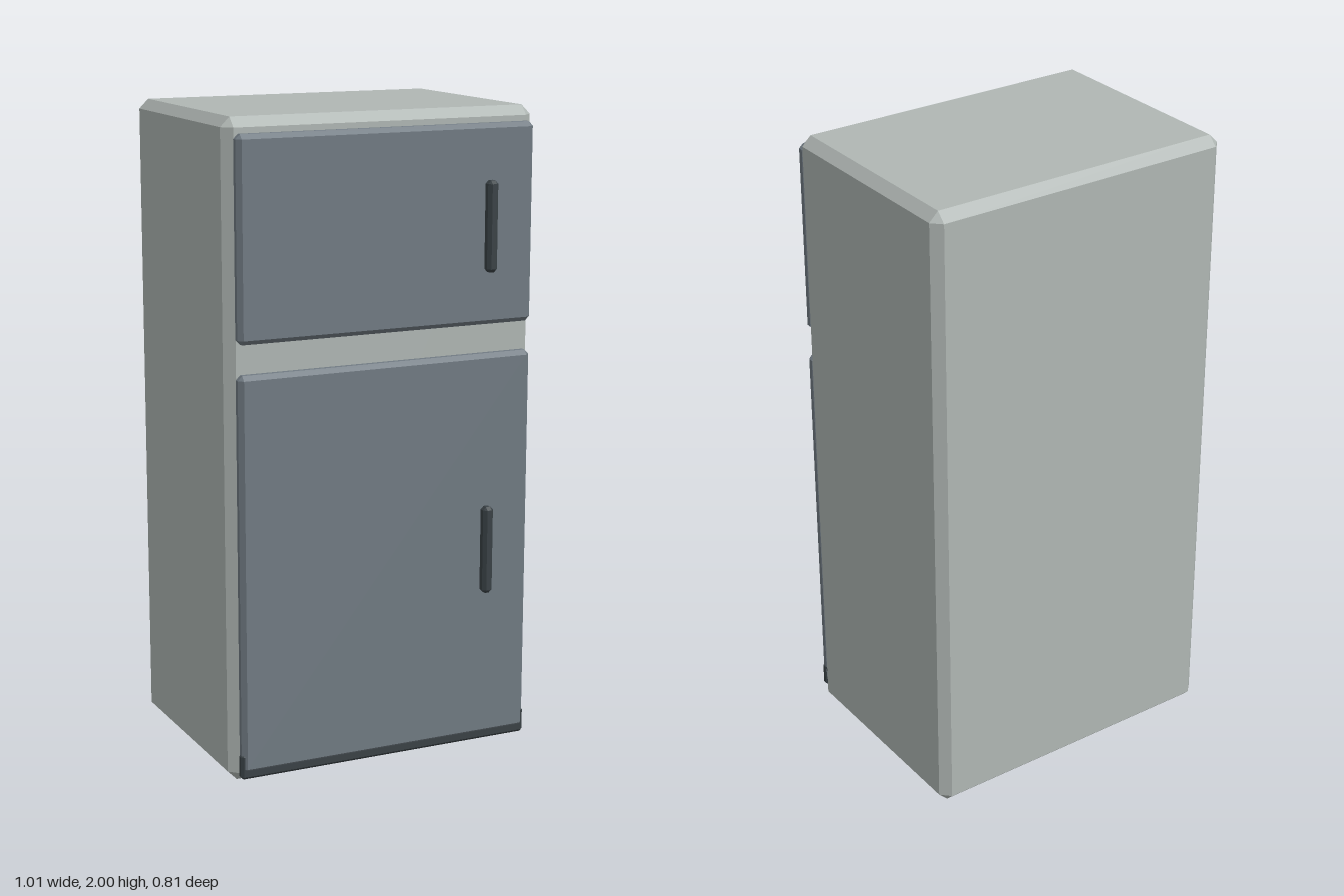
import * as THREE from 'three';
import { ConvexGeometry } from 'three/addons/geometries/ConvexGeometry.js';

const mat = (name, color) => {
  const m = new THREE.MeshStandardMaterial({ color });
  m.name = name;
  return m;
};

// Box between two corners with every edge cut by a chamfer c
function chamferBox(min, max, c) {
  const mid = min.map((v, i) => (v + max[i]) / 2);
  const half = min.map((v, i) => (max[i] - v) / 2);
  const points = [];
  for (const sx of [-1, 1]) for (const sy of [-1, 1]) for (const sz of [-1, 1]) {
    for (let axis = 0; axis < 3; axis++) {
      const h = half.map((v, i) => (i === axis ? v : v - c));
      points.push(new THREE.Vector3(sx * h[0], sy * h[1], sz * h[2]));
    }
  }
  return new ConvexGeometry(points).translate(...mid);
}

export function createModel() {
  const group = new THREE.Group();
  group.name = 'fridge';

  const shell = mat('lightMetal', 0xb0b7b4);
  const panel = mat('slateMetal', 0x717b83);
  const dark = mat('darkMetal', 0x3a4246);

  const add = (name, material, min, max, c) => {
    const mesh = new THREE.Mesh(chamferBox(min, max, c), material);
    mesh.name = name;
    group.add(mesh);
  };

  // Cabinet
  add('cabinet', shell, [-0.503, 0, -0.405], [0.503, 2, 0.317], 0.029);

  // Doors, each with an upright handle on the model's left
  const doors = [
    ['freezer', 1.35, 1.955, 1.515],
    ['fridge', 0.04, 1.26, 0.515],
  ];
  for (const [name, y0, y1, handleY] of doors) {
    add(name + 'Door', panel, [-0.481, y0, 0.317], [0.481, y1, 0.36], 0.014);
    add(name + 'Handle', dark, [0.305, handleY, 0.369], [0.339, handleY + 0.275, 0.405], 0.01);
  }

  // Kick plate wrapping the foot of the lower door
  add('kickPlate', dark, [-0.484, 0.02, 0.326], [0.484, 0.1, 0.354], 0.008);

  return group;
}
